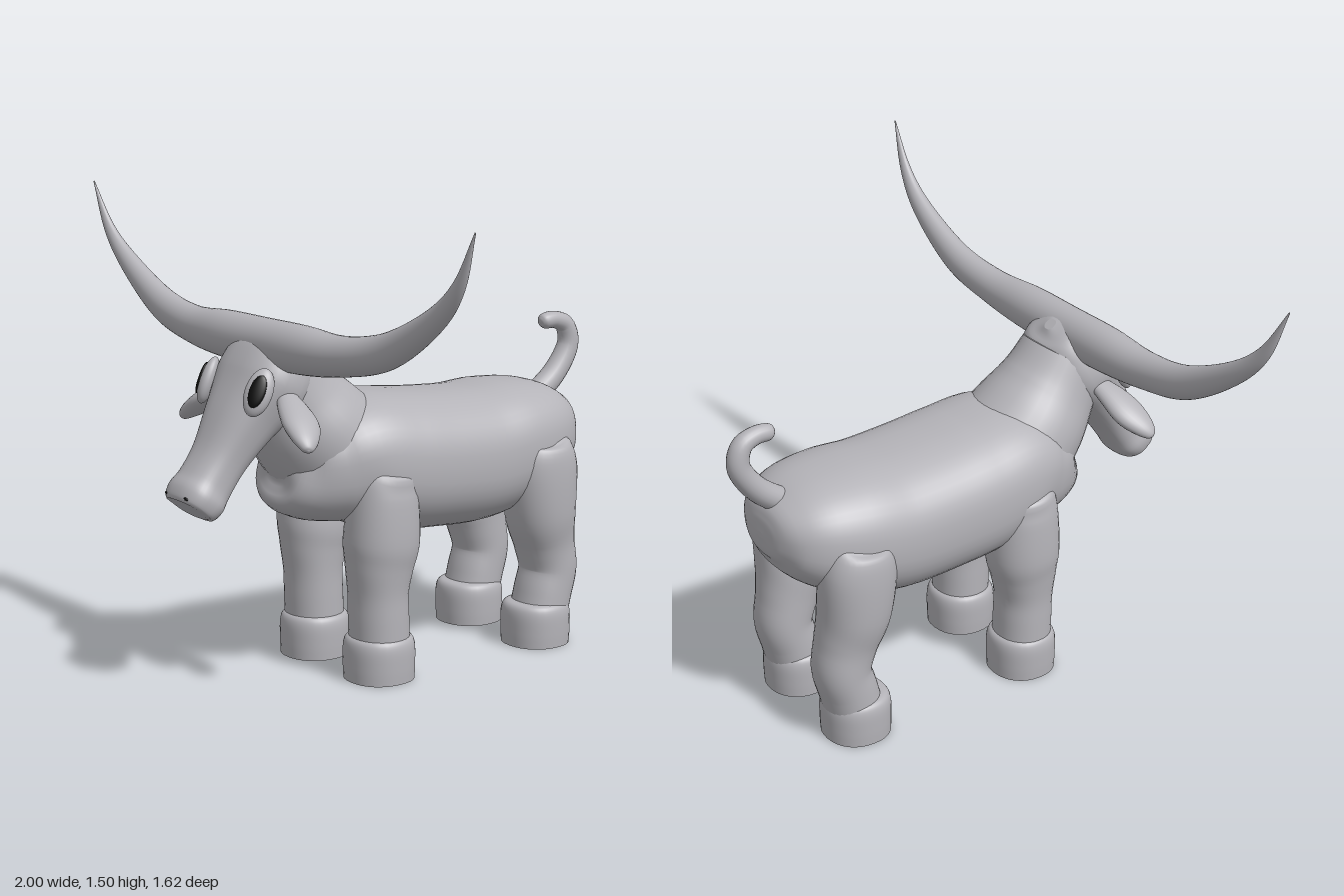
import * as THREE from 'three';

const hide = new THREE.MeshStandardMaterial({ color: 0xb4b3b8 });
hide.name = 'greyHide';
const black = new THREE.MeshStandardMaterial({ color: 0x0c0c0c });
black.name = 'black';

const X = new THREE.Vector3(1, 0, 0);
const Z = new THREE.Vector3(0, 0, 1);

// Smooth skin through stations [x, y, z, radius along side, radius across]
function loft(name, stations, { side = X, power = 2, steps = 5, n = 32 } = {}) {
  const path = new THREE.CatmullRomCurve3(stations.map(s => new THREE.Vector3(s[0], s[1], s[2])), false, 'catmullrom');
  const size = new THREE.CatmullRomCurve3(stations.map(s => new THREE.Vector3(s[3], s[4], 0)), false, 'catmullrom');
  const count = (stations.length - 1) * steps;
  const pos = [], index = [];
  let rows = 0;
  const round = v => Math.sign(v) * Math.abs(v) ** (2 / power);
  const ring = (t, scale) => {
    const c = path.getPoint(t), r = size.getPoint(t), tangent = path.getTangent(t);
    const across = tangent.clone().cross(side).normalize();
    const along = across.clone().cross(tangent).normalize();
    for (let j = 0; j < n; j++) {
      const a = j / n * Math.PI * 2;
      const p = c.clone()
        .addScaledVector(along, round(Math.cos(a)) * Math.max(r.x, 0) * scale)
        .addScaledVector(across, round(Math.sin(a)) * Math.max(r.y, 0) * scale);
      pos.push(p.x, p.y, p.z);
    }
    rows++;
  };
  ring(0, 0);
  ring(0, 1);
  for (let i = 0; i <= count; i++) ring(i / count, 1);
  ring(1, 1);
  ring(1, 0);
  for (let i = 0; i < rows - 1; i++) {
    if (i === 1 || i === rows - 3) continue; // keeps the cap edges sharp
    for (let j = 0; j < n; j++) {
      const a = i * n + j, b = i * n + (j + 1) % n;
      index.push(a, b, a + n, b, b + n, a + n);
    }
  }
  const g = new THREE.BufferGeometry();
  g.setAttribute('position', new THREE.Float32BufferAttribute(pos, 3));
  g.setIndex(index);
  g.computeVertexNormals();
  const mesh = new THREE.Mesh(g, hide);
  mesh.name = name;
  return mesh;
}

// Flattened ball facing a direction, its long axis close to 'up'
function disc(name, material, center, normal, up, half) {
  const z = new THREE.Vector3(...normal).normalize();
  const x = new THREE.Vector3(...up).cross(z).normalize();
  const y = z.clone().cross(x);
  const m = new THREE.Mesh(new THREE.SphereGeometry(1, 28, 18), material);
  m.name = name;
  m.quaternion.setFromRotationMatrix(new THREE.Matrix4().makeBasis(x, y, z));
  m.position.set(...center);
  m.scale.set(...half);
  return m;
}

export function createModel() {
  const model = new THREE.Group();
  model.name = 'longhornBull';

  // Barrel body from chest to rump: z, y, half width, half height
  model.add(loft('body', [
    [.45, .68, .015, .015], [.435, .68, .1, .085], [.385, .668, .175, .15], [.3, .675, .225, .18],
    [.19, .69, .262, .21], [.05, .665, .274, .225], [-.1, .65, .275, .225], [-.28, .643, .272, .223],
    [-.43, .667, .265, .208], [-.56, .69, .235, .175], [-.645, .7, .18, .128],
    [-.69, .7, .1, .07], [-.7, .7, .015, .01],
  ].map(([z, y, w, h]) => [0, y, z, w, h]), { power: 2.4, n: 48 }));

  model.add(loft('neck', [
    [0, .66, .18, .22, .21], [0, .8, .32, .2, .19], [0, .9, .4, .165, .165], [0, 1, .46, .145, .14],
  ], { steps: 8 }));

  // Head from poll to muzzle: y, z, half width, half depth
  model.add(loft('head', [
    [1.115, .405, .02, .02], [1.095, .42, .1, .075], [1.04, .45, .145, .11], [.95, .495, .165, .12],
    [.85, .575, .125, .097], [.745, .65, .095, .077], [.67, .705, .09, .076],
    [.63, .738, .1, .08], [.603, .762, .092, .07], [.597, .767, .075, .055],
  ].map(([y, z, w, d]) => [0, y, z, w, d]), { power: 2.5, n: 40 }));

  // One continuous sweep of horn, tip to tip
  const horn = [
    [.2, 1.08, .48, .07, .075], [.4, 1.086, .476, .057, .061], [.6, 1.127, .466, .046, .054],
    [.8, 1.235, .464, .032, .037], [.92, 1.345, .472, .017, .022], [1, 1.5, .482, .002, .002],
  ];
  const mirrored = horn.map(([x, ...rest]) => [-x, ...rest]).reverse();
  model.add(loft('horns', [...mirrored, [0, 1.08, .48, .07, .075], ...horn], { side: Z, steps: 6 }));

  // Curled tail
  model.add(loft('tail', [
    [0, .78, -.6, .042, .042], [0, .855, -.7, .04, .04], [0, .945, -.762, .037, .037],
    [0, 1.015, -.752, .033, .033], [0, 1.04, -.705, .029, .029], [0, 1.04, -.66, .027, .027],
    [0, 1.038, -.643, .017, .017], [0, 1.037, -.638, .002, .002],
  ], { n: 20 }));

  // Leg profiles: y, x, z, half width, half depth
  const frontLeg = [
    [.692, .225, .16, .02, .03], [.67, .215, .162, .068, .085], [.6, .192, .168, .096, .11],
    [.45, .18, .17, .113, .122], [.36, .177, .177, .104, .107], [.28, .175, .18, .098, .093],
    [.2, .175, .178, .098, .093], [.11, .175, .175, .098, .093],
  ];
  const hindLeg = [
    [.708, .225, -.47, .02, .04], [.685, .215, -.472, .075, .095], [.6, .2, -.475, .102, .125],
    [.45, .185, -.485, .112, .118], [.34, .176, -.512, .1, .1], [.25, .175, -.53, .097, .092],
    [.17, .175, -.51, .097, .092], [.11, .175, -.495, .097, .092],
  ];
  const hoof = [[.145, .07], [.138, .1], [.11, .112], [.05, .113], [0, .111]];

  for (const s of [1, -1]) {
    const label = s > 0 ? 'left' : 'right';
    for (const [end, leg, z] of [['Front', frontLeg, .175], ['Hind', hindLeg, -.48]]) {
      model.add(loft(label + end + 'Leg', leg.map(([y, x, lz, w, d]) => [s * x, y, lz, w, d]), { power: 2.15 }));
      model.add(loft(label + end + 'Hoof', hoof.map(([y, r]) => [s * .173, y, z, r, r * .98]), { power: 2.2 }));
    }

    // Drooping leaf-shaped ear
    model.add(loft(label + 'Ear', [
      [.13, .935, .495, .03, .022], [.2, .9, .515, .05, .03], [.26, .865, .53, .058, .032],
      [.31, .832, .55, .042, .025], [.338, .81, .562, .02, .014], [.345, .805, .565, .002, .002],
    ].map(([x, ...rest]) => [s * x, ...rest]), { side: Z, n: 24 }));

    // Eye: raised rim with a dark pupil
    const look = [s * .68, .3, .67], up = [s * -.12, .8, -.5];
    model.add(disc(label + 'EyeRim', hide, [s * .137, .955, .598], look, up, [.043, .076, .026]));
    model.add(disc(label + 'Pupil', black, [s * .152, .962, .613], look, up, [.025, .051, .009]));

    // Nostril on the muzzle end
    model.add(disc(label + 'Nostril', black, [s * .052, .632, .796], [0, -.7, .72], [0, .72, .7], [.012, .023, .006]));
  }
  return model;
}
